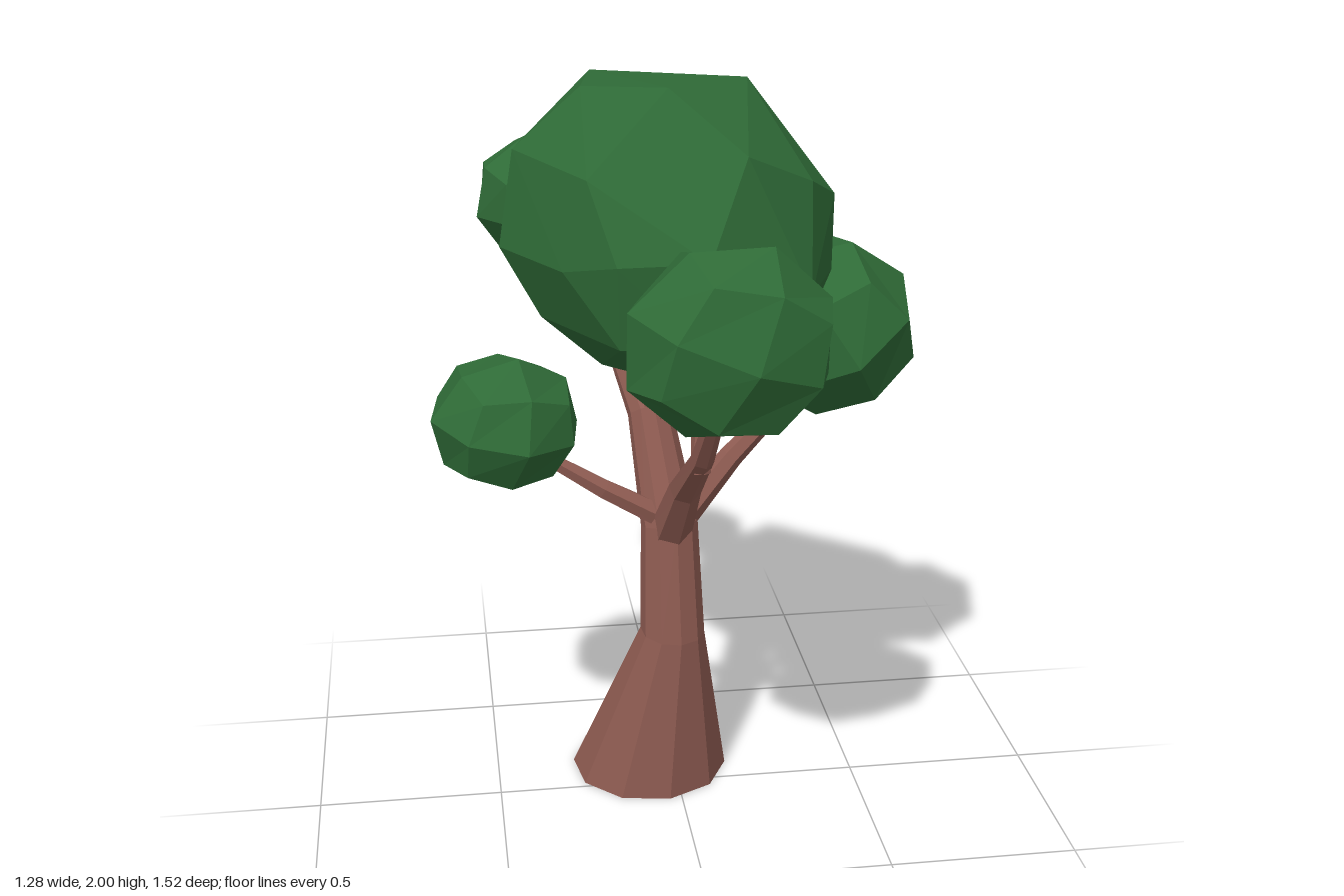
import * as THREE from 'three';
import { ConvexGeometry } from 'three/addons/geometries/ConvexGeometry.js';

const bark = new THREE.MeshStandardMaterial({ color: 0x8f5c52, flatShading: true });
const leaf = new THREE.MeshStandardMaterial({ color: 0x2f6b37, flatShading: true });

// Tapered limb through stations [x, y, z, radius], capped at both ends
function limb(name, stations, sides) {
  const up = new THREE.Vector3(0, 1, 0);
  const pts = stations.map(s => new THREE.Vector3(s[0], s[1], s[2]));
  const pos = [], idx = [];
  pts.forEach((p, i) => {
    const dir = new THREE.Vector3();
    if (i > 0) dir.add(p.clone().sub(pts[i - 1]).normalize());
    if (i < pts.length - 1) dir.add(pts[i + 1].clone().sub(p).normalize());
    if (p.y === 0) dir.copy(up); // ground ring lies flat
    const q = new THREE.Quaternion().setFromUnitVectors(up, dir.normalize());
    for (let j = 0; j < sides; j++) {
      const a = ((j + 0.25) / sides) * Math.PI * 2, r = stations[i][3];
      const v = new THREE.Vector3(Math.cos(a) * r, 0, Math.sin(a) * r).applyQuaternion(q).add(p);
      pos.push(v.x, v.y, v.z);
    }
  });
  const last = (pts.length - 1) * sides;
  const c0 = pts.length * sides, c1 = c0 + 1;
  pos.push(...pts[0].toArray(), ...pts[pts.length - 1].toArray());
  for (let j = 0; j < sides; j++) {
    const k = (j + 1) % sides;
    for (let o = 0; o < last; o += sides) {
      idx.push(o + j, o + sides + j, o + k, o + k, o + sides + j, o + sides + k);
    }
    idx.push(c0, j, k, c1, last + k, last + j);
  }
  const geo = new THREE.BufferGeometry();
  geo.setAttribute('position', new THREE.Float32BufferAttribute(pos, 3));
  geo.setIndex(idx);
  geo.computeVertexNormals();
  const mesh = new THREE.Mesh(geo, bark);
  mesh.name = name;
  return mesh;
}

// Leaf clump: a rounded 2x2x2 cube, turned and then fitted between min and max
function clump(name, min, max, turn) {
  const geo = new THREE.BoxGeometry(2, 2, 2, 2, 2, 2);
  const p = geo.attributes.position, v = new THREE.Vector3();
  for (let i = 0; i < p.count; i++) {
    v.fromBufferAttribute(p, i).normalize();
    p.setXYZ(i, v.x, v.y, v.z);
  }
  geo.applyMatrix4(new THREE.Matrix4().makeRotationFromEuler(new THREE.Euler(...turn)));
  geo.computeBoundingBox();
  const size = geo.boundingBox.getSize(new THREE.Vector3());
  const mid = geo.boundingBox.getCenter(new THREE.Vector3());
  const lo = new THREE.Vector3(...min), hi = new THREE.Vector3(...max);
  const scale = hi.clone().sub(lo).divide(size);
  const centre = hi.add(lo).multiplyScalar(0.5);
  geo.translate(-mid.x, -mid.y, -mid.z);
  geo.scale(scale.x, scale.y, scale.z);
  geo.translate(centre.x, centre.y, centre.z);
  geo.computeVertexNormals();
  const mesh = new THREE.Mesh(geo, leaf);
  mesh.name = name;
  return mesh;
}

// Large irregular crown, a faceted hull
function crown() {
  const points = [
    // flat top
    [-0.05, 2.0, 0.2], [0.17, 1.99, 0.02], [-0.19, 1.96, -0.31], [-0.24, 1.97, -0.02],
    // shoulders
    [-0.41, 1.81, -0.06], [0.12, 1.86, 0.34], [-0.25, 1.79, 0.23], [0.3, 1.77, 0.22],
    [0.39, 1.7, 0.06], [0.24, 1.7, -0.2], [0.06, 1.76, -0.32],
    // waist
    [-0.45, 1.56, -0.06], [-0.31, 1.56, 0.2], [-0.19, 1.6, 0.33], [0.02, 1.63, 0.43], [0.28, 1.52, 0.34],
    [0.39, 1.5, 0.05], [-0.08, 1.58, -0.37], [-0.33, 1.6, -0.34],
    // underside
    [-0.35, 1.38, -0.03], [0.02, 1.4, 0.38], [-0.18, 1.38, 0.28], [0.3, 1.37, 0.17], [-0.32, 1.4, -0.28],
    [0.2, 1.24, 0.1], [0.05, 1.25, 0.25], [-0.2, 1.26, 0.02], [-0.08, 1.28, -0.3],
  ].map(a => new THREE.Vector3(...a));
  const mesh = new THREE.Mesh(new ConvexGeometry(points), leaf);
  mesh.name = 'crown';
  return mesh;
}

export function createModel() {
  const tree = new THREE.Group();
  tree.name = 'tree';

  // Trunk leans back and runs on into the rear bough
  tree.add(limb('trunk', [
    [-0.067, 0, -0.118, 0.218], [-0.015, 0.48, 0.003, 0.088], [-0.02, 0.79, -0.02, 0.077],
    [-0.06, 1.08, -0.12, 0.06], [-0.14, 1.29, -0.3, 0.042], [-0.27, 1.45, -0.53, 0.022],
  ], 10));

  // Branches
  const branches = {
    frontBranch: [[-0.02, 0.77, 0.0, 0.058], [0, 0.95, 0.14, 0.043], [0.02, 1.1, 0.31, 0.03], [0.04, 1.36, 0.52, 0.018]],
    frontTwig: [[0.02, 1.05, 0.28, 0.026], [0.02, 1.32, 0.24, 0.016]],
    rightBranch: [[-0.03, 0.81, 0, 0.035], [-0.2, 0.91, 0.01, 0.028], [-0.42, 1.05, 0, 0.016]],
    leftBranch: [[0.01, 0.8, -0.02, 0.042], [0.15, 0.97, -0.03, 0.032], [0.36, 1.18, -0.05, 0.018]],
    crownBranch: [[-0.04, 0.98, -0.09, 0.045], [-0.055, 1.14, -0.1, 0.035], [-0.06, 1.34, -0.08, 0.024]],
    rearTwig: [[-0.13, 1.28, -0.31, 0.03], [-0.07, 1.43, -0.42, 0.016]],
  };
  for (const [name, stations] of Object.entries(branches)) tree.add(limb(name, stations, 6));

  // Foliage
  tree.add(crown());
  tree.add(clump('frontClump', [-0.2, 1.26, 0.4], [0.28, 1.71, 0.76], [0.1, 0.15, -0.4]));
  tree.add(clump('rightClump', [-0.645, 0.93, -0.22], [-0.26, 1.28, 0.19], [0.15, 0.25, -0.2]));
  tree.add(clump('leftClump', [0.14, 1.09, -0.34], [0.64, 1.545, 0.19], [0.2, 0.2, 0.5]));
  tree.add(clump('rearClump', [-0.49, 1.38, -0.76], [-0.14, 1.74, -0.41], [0.1, 0.25, 0.2]));
  tree.add(clump('smallRearClump', [-0.2, 1.36, -0.56], [0.09, 1.69, -0.3], [0.15, 0.5, 0.2]));
  return tree;
}
